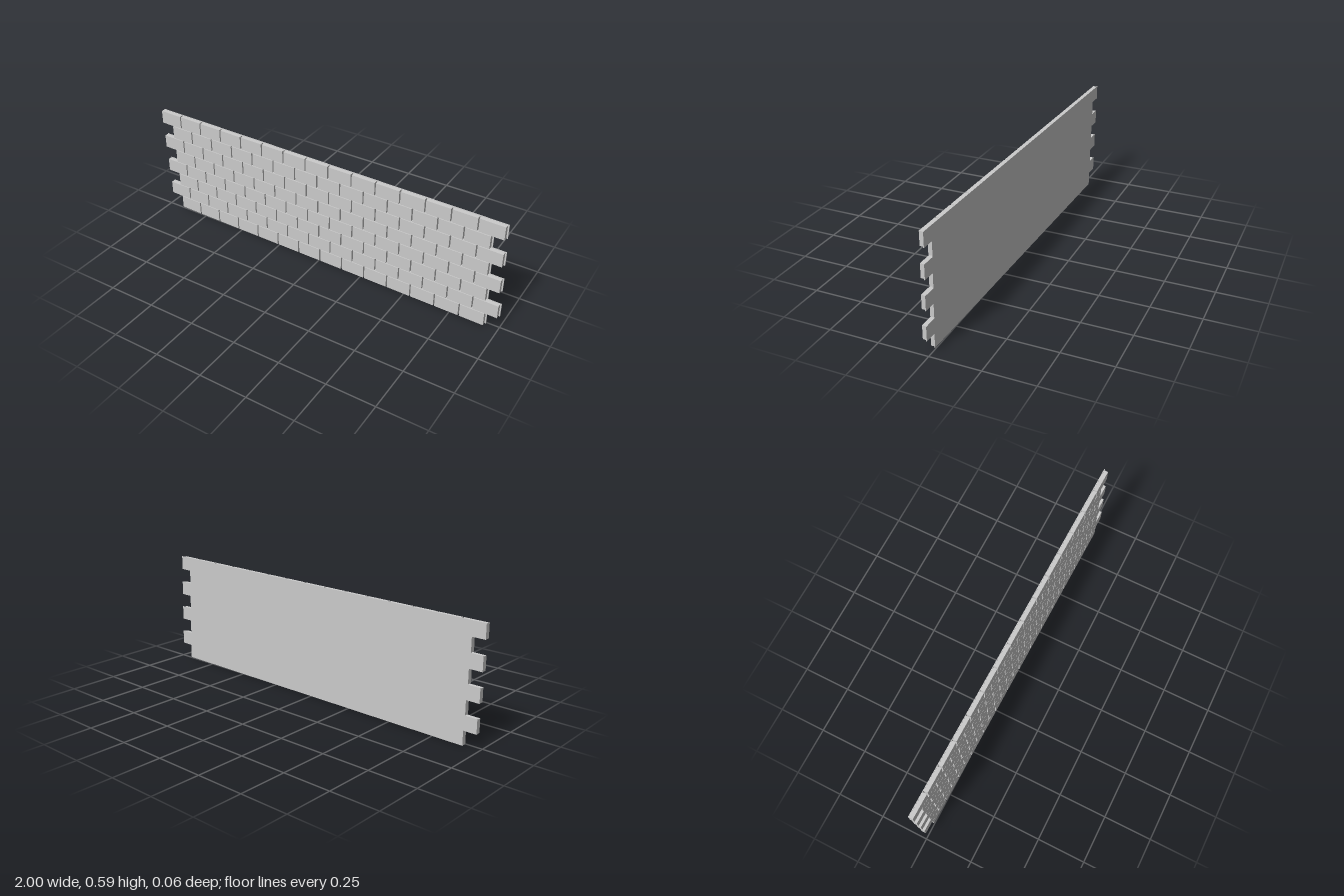
import * as THREE from 'three';

const ROWS = 8, PITCH_X = 0.132, PITCH_Y = 0.0734;
const BRICK_W = 0.125, BRICK_H = 0.07, BRICK_D = 0.0205;
const BACK_Z = -0.0115, FRONT_Z = -0.008;

// Long and short courses alternate, each drifting slightly to the right side
const courses = Array.from({ length: ROWS }, (_, r) => {
  const count = r % 2 ? 15 : 14;
  const left = 0.01 - 0.0029 * r - count * PITCH_X / 2;
  return { count, left, right: left + count * PITCH_X, y: r * PITCH_Y };
});

export function createModel() {
  const wall = new THREE.Group();
  wall.name = 'brickWall';
  const material = new THREE.MeshStandardMaterial({ color: 0xcccccc, flatShading: true });

  // Thin mortar sheet with toothed ends
  const outline = [];
  courses.forEach(c => outline.push(
    new THREE.Vector2(c.right, c.y), new THREE.Vector2(c.right, c.y + PITCH_Y)));
  [...courses].reverse().forEach(c => outline.push(
    new THREE.Vector2(c.left, c.y + PITCH_Y), new THREE.Vector2(c.left, c.y)));
  const sheet = new THREE.ExtrudeGeometry(new THREE.Shape(outline),
    { depth: FRONT_Z - BACK_Z, bevelEnabled: false });
  sheet.translate(0, 0, BACK_Z);
  const mortar = new THREE.Mesh(sheet, material);
  mortar.name = 'mortarBacking';
  wall.add(mortar);

  // Bricks, with the joint on the right and top of each one
  const brickGeometry = new THREE.BoxGeometry(BRICK_W, BRICK_H, BRICK_D);
  courses.forEach((c, r) => {
    const course = new THREE.Group();
    course.name = `brickCourse${r + 1}`;
    for (let i = 0; i < c.count; i++) {
      const brick = new THREE.Mesh(brickGeometry, material);
      brick.name = 'brick';
      brick.position.set(c.left + i * PITCH_X + BRICK_W / 2,
        c.y + 0.001 + BRICK_H / 2, FRONT_Z + BRICK_D / 2);
      course.add(brick);
    }
    wall.add(course);
  });

  // The wall stands about one degree off the x axis
  wall.rotation.y = -0.0175;
  const model = new THREE.Group();
  model.name = 'wallPanel';
  model.add(wall);
  return model;
}
